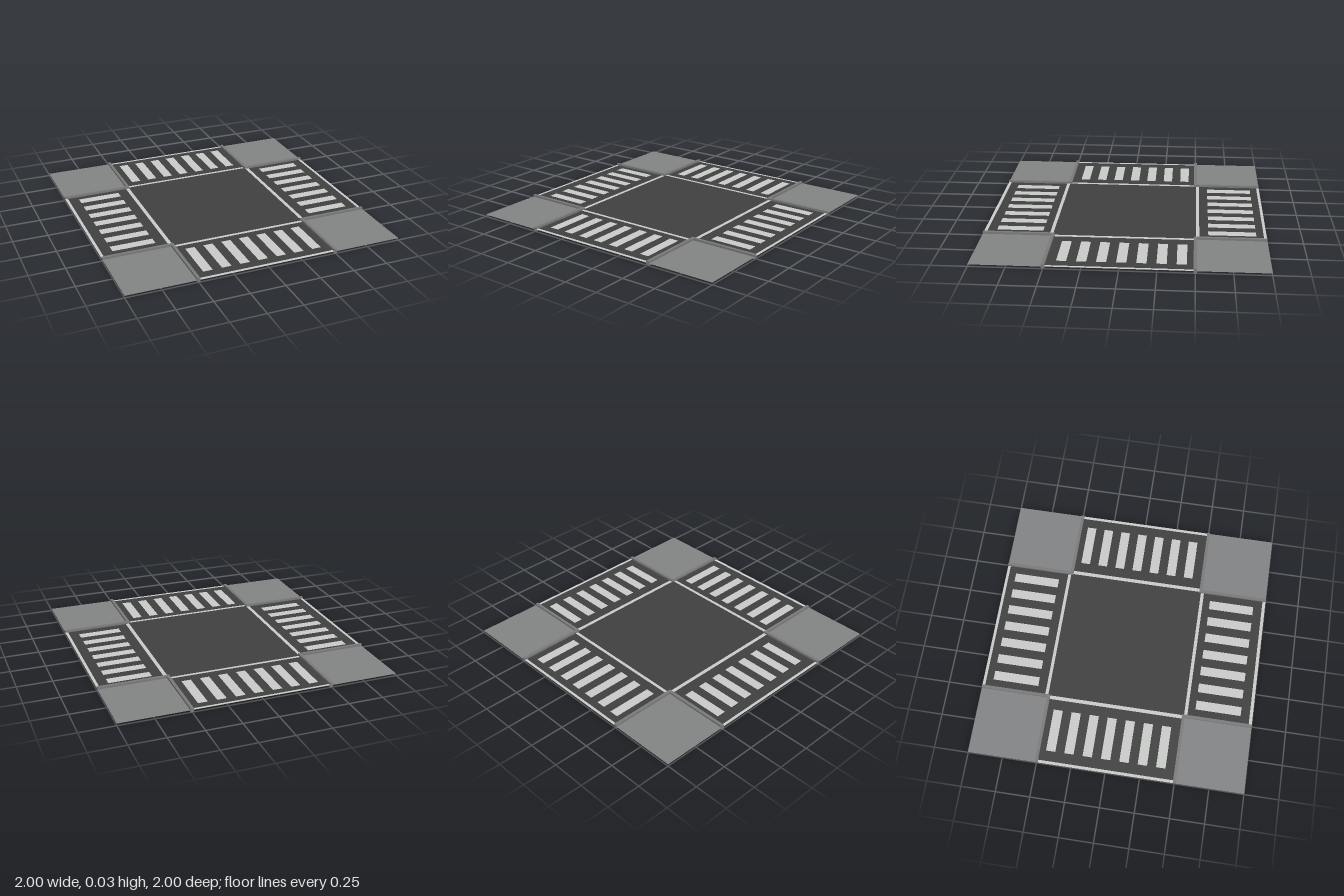
import * as THREE from 'three';

const SURFACE_Y = 0.015;  // level of road and pavement
const PAINT_Y = 0.0165;   // road markings lie just above
const INNER = 0.489, KERB = 0.022, KERB_H = 0.03;

export function createModel() {
  const model = new THREE.Group();
  model.name = 'crossroads';

  const material = (name, color, side = THREE.FrontSide) => {
    const m = new THREE.MeshStandardMaterial({ color, side });
    m.name = name;
    return m;
  };
  const asphalt = material('asphalt', 0x404040, THREE.DoubleSide);
  const pavement = material('pavement', 0x828384, THREE.DoubleSide);
  const kerbStone = material('kerbStone', 0x7a7a7a);
  const paint = material('paint', 0xc9cbc9);

  // Flat horizontal rectangle between two x and two z limits
  const sheet = (parent, name, mat, x0, x1, z0, z1, y) => {
    const geo = new THREE.PlaneGeometry(x1 - x0, z1 - z0).rotateX(-Math.PI / 2);
    const mesh = new THREE.Mesh(geo, mat);
    mesh.name = name;
    mesh.position.set((x0 + x1) / 2, y, (z0 + z1) / 2);
    parent.add(mesh);
  };
  const block = (parent, name, w, d, x, z) => {
    const mesh = new THREE.Mesh(new THREE.BoxGeometry(w, KERB_H, d), kerbStone);
    mesh.name = name;
    mesh.position.set(x, KERB_H / 2, z);
    parent.add(mesh);
  };

  // Cross-shaped road surface
  const road = new THREE.Group();
  road.name = 'road';
  sheet(road, 'mainRoad', asphalt, -0.5, 0.5, -1, 1, SURFACE_Y);
  sheet(road, 'leftArm', asphalt, 0.5, 1, -0.5, 0.5, SURFACE_Y);
  sheet(road, 'rightArm', asphalt, -1, -0.5, -0.5, 0.5, SURFACE_Y);
  model.add(road);

  // Four pavement corners, each with an L-shaped kerb
  for (const sx of [-1, 1]) for (const sz of [-1, 1]) {
    const corner = new THREE.Group();
    corner.name = (sz > 0 ? 'front' : 'back') + (sx > 0 ? 'Left' : 'Right') + 'Corner';
    sheet(corner, 'pavementSlab', pavement,
      Math.min(sx * 0.5, sx), Math.max(sx * 0.5, sx),
      Math.min(sz * 0.5, sz), Math.max(sz * 0.5, sz), SURFACE_Y);
    const mid = INNER + KERB / 2, end = INNER + KERB;
    block(corner, 'kerbAlongX', 1 - INNER, KERB, sx * (1 + INNER) / 2, sz * mid);
    block(corner, 'kerbAlongZ', KERB, 1 - end, sx * mid, sz * (1 + end) / 2);
    model.add(corner);
  }

  // Markings: limits of [outer line, stop line, crossing stripes] on each arm
  const arms = [
    { name: 'back', along: 'z', bands: [[-1, -0.98], [-0.528, -0.505], [-0.928, -0.591]], shift: 0 },
    { name: 'front', along: 'z', bands: [[0.977, 1], [0.503, 0.527], [0.58, 0.912]], shift: 0 },
    { name: 'right', along: 'x', bands: [[-1, -0.979], [-0.519, -0.492], [-0.904, -0.594]], shift: -0.011 },
    { name: 'left', along: 'x', bands: [[0.979, 1], [0.497, 0.524], [0.599, 0.909]], shift: -0.011 },
  ];
  for (const { name, along, bands, shift } of arms) {
    const crossing = new THREE.Group();
    crossing.name = name + 'Crossing';
    const mark = (label, [a0, a1], b0, b1) => along === 'z'
      ? sheet(crossing, label, paint, b0, b1, a0, a1, PAINT_Y)
      : sheet(crossing, label, paint, a0, a1, b0, b1, PAINT_Y);
    mark('outerLine', bands[0], -INNER, INNER);
    mark('stopLine', bands[1], -INNER, INNER);
    for (let i = -3; i <= 3; i++) {
      const c = i * 0.1335 + shift;
      mark('stripe', bands[2], c - 0.034, c + 0.034);
    }
    model.add(crossing);
  }
  return model;
}
